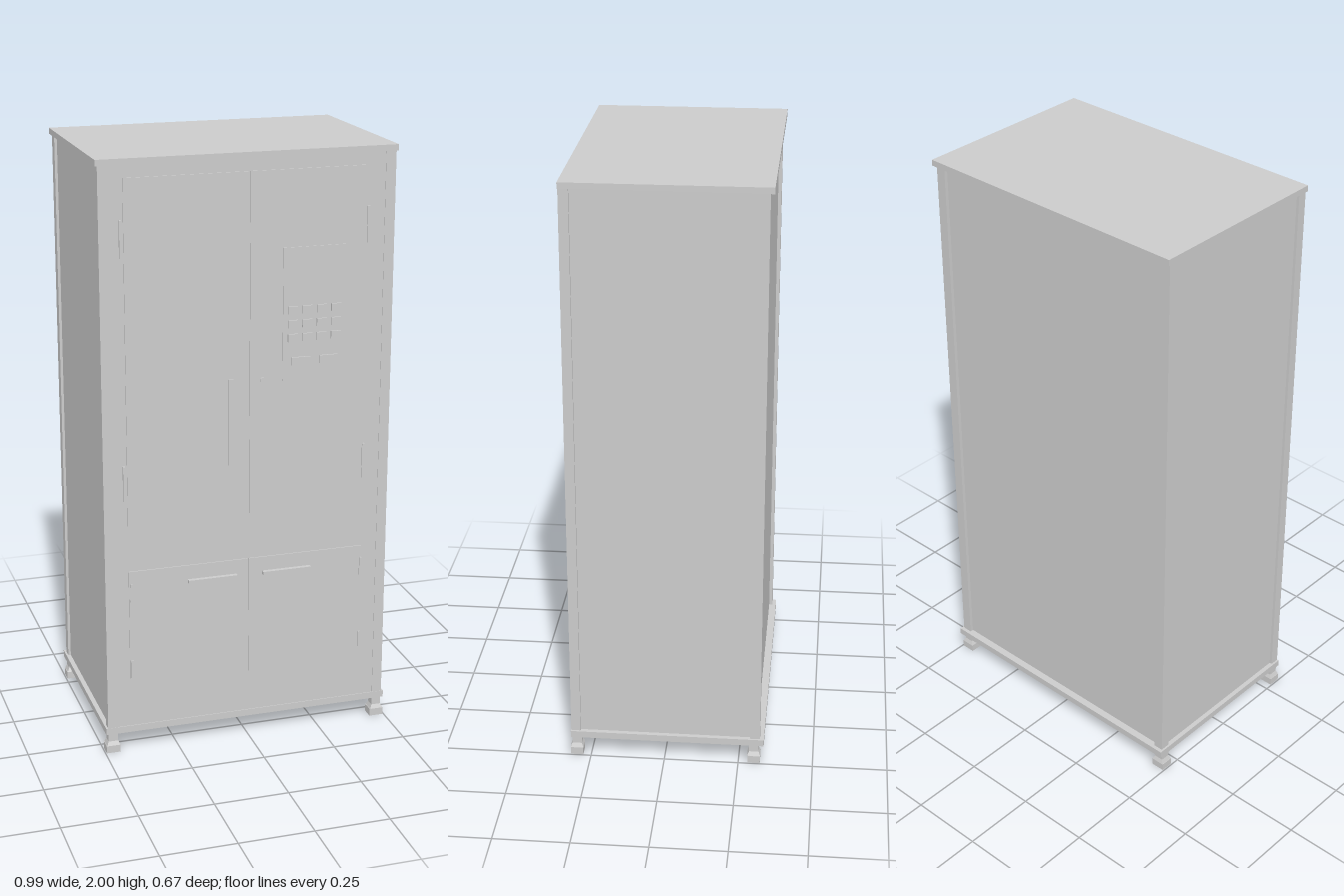
import * as THREE from 'three';

export function createModel() {
  const model = new THREE.Group();
  const mat = new THREE.MeshStandardMaterial({ color: 0xcccccc, flatShading: true });

  // Box given by its extents on each axis
  const box = (name, x0, x1, y0, y1, z0, z1, parent = model) => {
    const mesh = new THREE.Mesh(new THREE.BoxGeometry(x1 - x0, y1 - y0, z1 - z0), mat);
    mesh.position.set((x0 + x1) / 2, (y0 + y1) / 2, (z0 + z1) / 2);
    mesh.name = name;
    parent.add(mesh);
    return mesh;
  };

  // Cabinet body, recessed between the corner posts
  box('cabinetBody', -0.48, 0.48, 0.08, 1.99, -0.31, 0.315);
  box('topPlate', -0.496, 0.496, 1.98, 2, -0.335, 0.318);
  box('basePlate', -0.496, 0.496, 0.067, 0.09, -0.335, 0.318);

  // Corner posts and feet
  for (const sx of [-1, 1]) {
    for (const front of [true, false]) {
      const [z0, z1] = front ? [0.285, 0.317] : [-0.322, -0.288];
      box('cornerPost', Math.min(sx * 0.455, sx * 0.489), Math.max(sx * 0.455, sx * 0.489), 0.09, 1.98, z0, z1);

      const foot = new THREE.Group();
      foot.name = 'foot';
      foot.position.set(sx * 0.472, 0, front ? 0.298 : -0.302);
      box('footBase', -0.024, 0.024, 0, 0.026, -0.021, 0.021, foot);
      const collar = new THREE.CylinderGeometry(0.016 * Math.SQRT2, 0.022 * Math.SQRT2, 0.014, 4, 1, true);
      collar.rotateY(Math.PI / 4);
      const taper = new THREE.Mesh(collar, mat);
      taper.name = 'footTaper';
      taper.position.y = 0.033;
      foot.add(taper);
      box('footNeck', -0.016, 0.016, 0.026, 0.07, -0.016, 0.016, foot);
      model.add(foot);
    }
  }

  // Upper and lower pairs of doors, meeting at a thin gap
  for (const [name, y0, y1] of [['upperDoor', 0.775, 1.94], ['lowerDoor', 0.235, 0.645]]) {
    box(name, -0.41, -0.002, y0, y1, 0.31, 0.319);
    box(name, 0.002, 0.4, y0, y1, 0.31, 0.319);
  }

  // Hinges
  for (const [y0, y1, left] of [[1.69, 1.81, -0.42], [0.89, 1.01, -0.42], [0.54, 0.602, -0.402], [0.265, 0.33, -0.402]]) {
    for (const x of [left, 0.398]) box('hinge', x - 0.004, x + 0.004, y0, y1, 0.312, 0.323);
  }

  // Handles
  box('lowerHandle', -0.21, -0.042, 0.585, 0.596, 0.315, 0.334);
  box('lowerHandle', 0.048, 0.216, 0.585, 0.596, 0.315, 0.334);
  box('upperHandle', -0.072, -0.053, 0.98, 1.27, 0.315, 0.323);
  const lock = new THREE.Mesh(new THREE.CylinderGeometry(0.008, 0.008, 0.008, 12), mat);
  lock.name = 'lock';
  lock.rotation.x = Math.PI / 2;
  lock.position.set(0.045, 1.26, 0.319);
  model.add(lock);

  // Control panel with a grid of keys and two wider keys below
  box('controlPanel', 0.112, 0.33, 1.25, 1.69, 0.315, 0.322);
  for (let row = 0; row < 3; row++) {
    for (let col = 0; col < 4; col++) {
      const x = 0.128 + col * 0.049;
      const y = 1.485 - row * 0.046;
      box('key', x, x + 0.034, y - 0.013, y + 0.013, 0.32, 0.328);
    }
  }
  for (const x of [0.142, 0.236]) box('wideKey', x, x + 0.062, 1.302, 1.328, 0.32, 0.328);

  return model;
}
